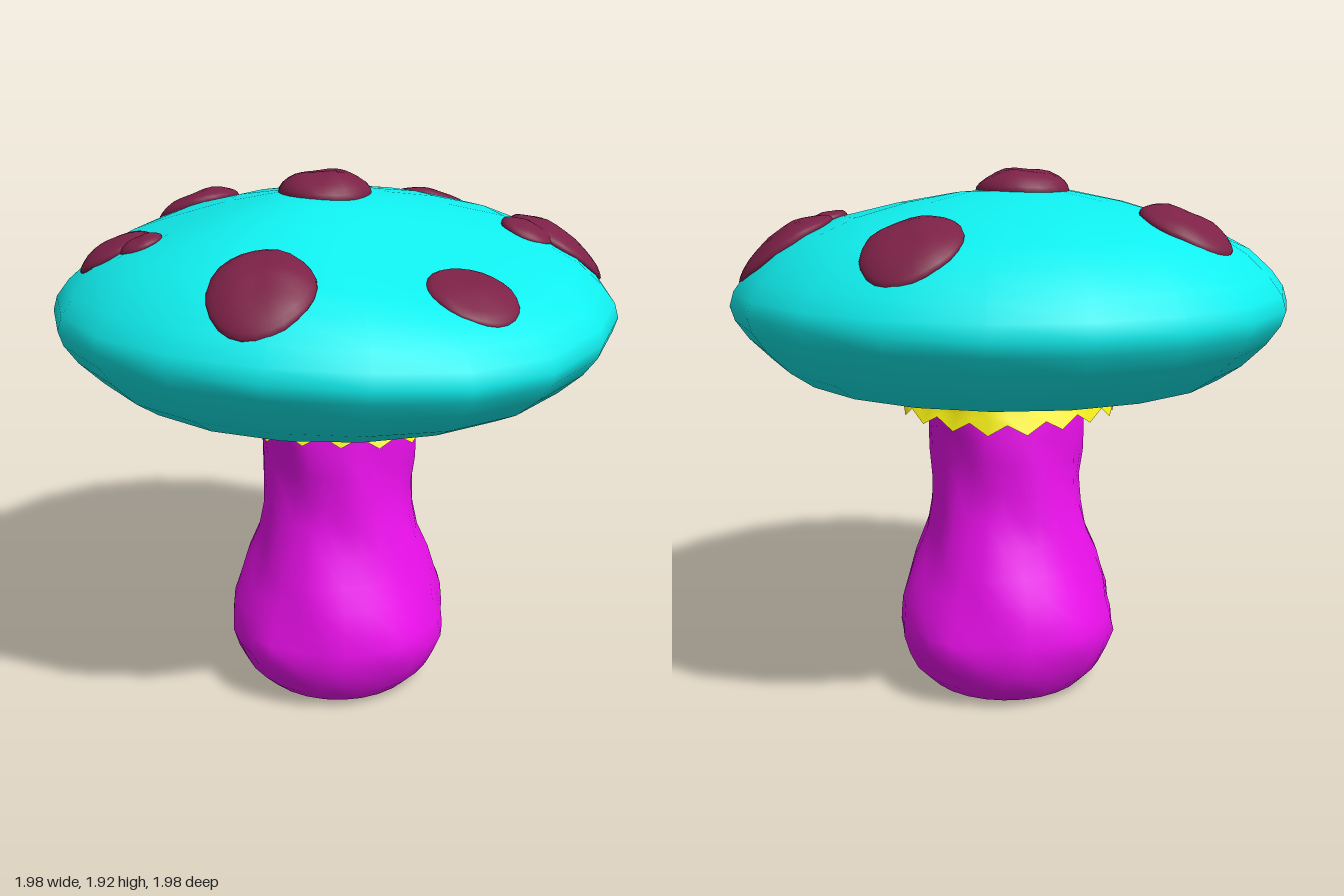
import * as THREE from 'three';
import { mergeVertices } from 'three/addons/utils/BufferGeometryUtils.js';

const CAP = new THREE.MeshStandardMaterial({ color: 0x10eeee });
const STEM = new THREE.MeshStandardMaterial({ color: 0xee10ee });
const COLLAR = new THREE.MeshStandardMaterial({ color: 0xeee810, side: THREE.DoubleSide });
const SPOT = new THREE.MeshStandardMaterial({ color: 0x7c2146 });

// Upper cap profile as [radius, height], from crown to widest edge
const crown = [[0, 1.865], [0.2, 1.857], [0.4, 1.825], [0.6, 1.775], [0.75, 1.715],
  [0.85, 1.655], [0.93, 1.58], [0.975, 1.52], [0.99, 1.47]];

// Soft hollows pressed into the cap
function dent(x, z) {
  const hollow = (cx, cz, s, depth) => depth * Math.exp(-((x - cx) ** 2 + (z - cz) ** 2) / (2 * s * s));
  return hollow(0.62, 0.08, 0.28, 0.1) + hollow(-0.38, 0.48, 0.17, 0.035);
}

// Height of the cap's upper surface
function capHeight(x, z) {
  const r = Math.hypot(x, z);
  let i = 1;
  while (i < crown.length - 1 && crown[i][0] < r) i++;
  const [r0, y0] = crown[i - 1], [r1, y1] = crown[i];
  return y0 + (y1 - y0) * Math.min(1, (r - r0) / (r1 - r0)) - dent(x, z);
}

// Moves every vertex by a rule and rebuilds smooth, seamless normals
function reshape(geometry, rule) {
  geometry.deleteAttribute('uv');
  geometry.deleteAttribute('normal');
  const g = mergeVertices(geometry, 1e-4);
  const p = g.attributes.position, v = new THREE.Vector3();
  for (let i = 0; i < p.count; i++) {
    v.fromBufferAttribute(p, i);
    rule(v);
    p.setXYZ(i, v.x, v.y, v.z);
  }
  g.computeVertexNormals();
  return g;
}

const lathe = (points, sides) =>
  new THREE.LatheGeometry(points.map(([r, y]) => new THREE.Vector2(r, y)), sides);

function part(name, geometry, material) {
  const mesh = new THREE.Mesh(geometry, material);
  mesh.name = name;
  return mesh;
}

function makeCap() {
  const group = new THREE.Group();
  group.name = 'cap';
  const outer = [[0.77, 1.22], [0.85, 1.275], [0.93, 1.355], [0.975, 1.42], ...[...crown].reverse()];
  group.add(part('capTop', reshape(lathe(outer, 20), (v) => {
    // hollows fade out towards the rim
    v.y -= dent(v.x, v.z) * THREE.MathUtils.clamp((v.y - 1.22) / 0.25, 0, 1);
  }), CAP));
  const inner = [[0, 1.41], [0.4, 1.41], [0.57, 1.39], [0.68, 1.33], [0.74, 1.26], [0.77, 1.22]];
  group.add(part('capUnderside', reshape(lathe(inner, 20), () => {}), CAP));
  return group;
}

// A rounded patch draped over the cap
function makeSpot(x, z, radius, thickness) {
  return part('spot', reshape(new THREE.SphereGeometry(1, 24, 14), (v) => {
    const px = x + v.x * radius, pz = z + v.z * radius;
    const wrinkle = 1 + 0.12 * Math.sin(4 * v.x + 9 * x) * Math.cos(5 * v.z + 7 * z);
    v.set(px, capHeight(px, pz) + v.y * thickness * wrinkle, pz);
  }), SPOT);
}

function makeStem() {
  const profile = [[0.27, 0.005], [0.31, 0.02], [0.365, 0.075], [0.395, 0.14], [0.42, 0.21], [0.415, 0.27],
    [0.4, 0.34], [0.375, 0.42], [0.345, 0.5], [0.31, 0.6], [0.285, 0.7], [0.275, 0.8],
    [0.275, 0.9], [0.28, 1.0], [0.275, 1.1], [0.26, 1.2], [0.25, 1.41]];
  const group = new THREE.Group();
  group.name = 'stem';
  group.add(part('stalk', reshape(lathe(profile, 28), (v) => {
    // uneven, lumpy skin
    const a = Math.atan2(v.x, v.z);
    const lump = 0.02 * Math.sin(3 * a + 5 * v.y) * Math.sin(9 * v.y + a)
      + 0.014 * Math.sin(8 * a - 11 * v.y) * Math.sin(17 * v.y + 2 * a);
    const k = 1 + lump * 1.8 * THREE.MathUtils.smoothstep(v.y, 0, 0.25);
    v.x = v.x * k + 0.018;
    v.z *= k;
  }), STEM));
  const foot = part('stalkBase', new THREE.CircleGeometry(0.27, 28), STEM);
  foot.rotation.x = Math.PI / 2;
  foot.position.set(0.018, 0.005, 0);
  group.add(foot);
  return group;
}

// Flared skirt under the cap with a toothed hem
function makeCollar() {
  const teeth = 18;
  const profile = [[0.385, 1.07], [0.36, 1.105], [0.34, 1.14], [0.335, 1.17], [0.31, 1.21],
    [0.3, 1.25], [0.31, 1.31], [0.295, 1.355], [0.24, 1.38]];
  return part('collar', reshape(lathe(profile, teeth * 2), (v) => {
    const a = Math.atan2(v.x, v.z);
    const hem = 1 - THREE.MathUtils.smoothstep(v.y, 1.07, 1.11);
    const k = 1 + 0.02 * Math.sin(5 * a + 30 * v.y);
    v.y += 0.02 * Math.cos(teeth * a) * hem + 0.008 * Math.sin(3 * a);
    v.x = v.x * k + 0.01;
    v.z *= k;
  }), COLLAR);
}

export function createModel() {
  const model = new THREE.Group();
  model.name = 'mushroom';
  model.add(makeStem(), makeCollar(), makeCap());

  // x, z, radius, thickness
  const spots = new THREE.Group();
  spots.name = 'spots';
  [
    [-0.07, -0.015, 0.165, 0.07], [-0.21, -0.71, 0.16, 0.045], [0.49, -0.62, 0.165, 0.045],
    [0.49, -0.45, 0.09, 0.035], [-0.67, 0.1, 0.155, 0.05], [0.72, 0.08, 0.145, 0.035],
    [-0.4, 0.645, 0.125, 0.04], [-0.24, 0.645, 0.07, 0.03], [0.4, 0.65, 0.165, 0.05],
  ].forEach((s) => spots.add(makeSpot(...s)));
  model.add(spots);
  return model;
}
